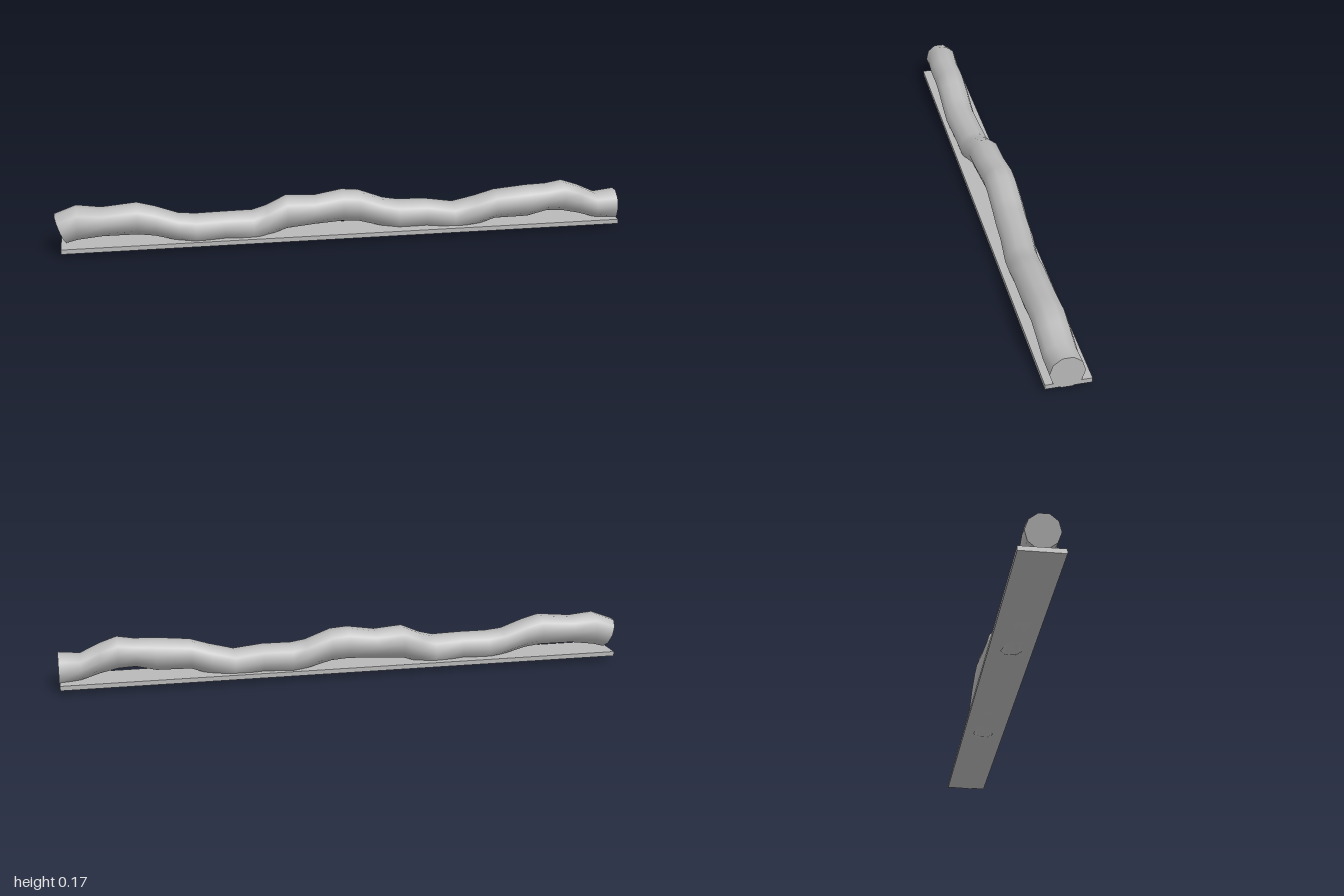
import * as THREE from 'three';

const SIDES = 10;

// Cross-sections along the log: x, top y, bottom y, centre z
const SECTIONS = [
  [-0.982, 0.137, 0.04, 0.003], [-0.925, 0.165, 0.05, 0.005], [-0.84, 0.155, 0.06, 0.01],
  [-0.72, 0.166, 0.06, 0.011], [-0.66, 0.15, 0.052, 0.011], [-0.58, 0.121, 0.03, 0.011],
  [-0.52, 0.115, 0.012, 0.011], [-0.42, 0.116, 0.022, 0.008], [-0.32, 0.115, 0.005, 0.002],
  [-0.27, 0.128, 0.025, -0.003], [-0.2, 0.159, 0.047, -0.009], [-0.1, 0.152, 0.055, -0.014],
  [0, 0.168, 0.06, -0.018], [0.06, 0.163, 0.056, -0.018], [0.15, 0.129, 0.032, -0.018],
  [0.2, 0.121, 0.016, -0.016], [0.3, 0.12, 0.023, -0.01], [0.4, 0.107, 0.005, -0.002],
  [0.48, 0.126, 0.025, 0.004], [0.55, 0.147, 0.049, 0.008], [0.67, 0.158, 0.051, 0.01],
  [0.74, 0.16, 0.068, 0.01], [0.8, 0.17, 0.065, 0.01], [0.86, 0.15, 0.052, 0.009],
  [0.925, 0.12, 0.032, 0.007], [1, 0.128, 0.017, 0.005],
];

// Ten-sided ring around one cross-section; the first is cut at a slant
function ring([x, top, bottom, z], i) {
  const points = [];
  const radiusY = (top - bottom) / 2 / Math.sin(Math.PI * 0.4);
  const slant = i === 0 ? -0.019 : 0;
  for (let j = 0; j < SIDES; j++) {
    const a = (j / SIDES) * Math.PI * 2;
    points.push(new THREE.Vector3(
      x + slant * Math.sin(a),
      (top + bottom) / 2 + radiusY * Math.sin(a),
      z + 0.056 * Math.cos(a)));
  }
  return points;
}

function surface(points, index) {
  const geometry = new THREE.BufferGeometry().setFromPoints(points);
  geometry.setIndex(index);
  geometry.computeVertexNormals();
  return geometry;
}

function capGeometry(points, reversed) {
  const index = [];
  for (let j = 1; j < SIDES - 1; j++) {
    index.push(0, reversed ? j + 1 : j, reversed ? j : j + 1);
  }
  return surface(points, index);
}

export function createModel() {
  const group = new THREE.Group();
  const grey = new THREE.MeshStandardMaterial({ color: 0xb8b8b8 });
  grey.name = 'plain grey';

  const add = (name, geometry) => {
    const mesh = new THREE.Mesh(geometry, grey);
    mesh.name = name;
    group.add(mesh);
    return mesh;
  };

  // Wavy round log with smooth sides
  const rings = SECTIONS.map(ring);
  const index = [];
  for (let i = 0; i < rings.length - 1; i++) {
    for (let j = 0; j < SIDES; j++) {
      const k = (j + 1) % SIDES;
      const a = i * SIDES + j, b = a + SIDES;
      const d = i * SIDES + k, c = d + SIDES;
      index.push(a, b, c, a, c, d);
    }
  }
  add('log', surface(rings.flat(), index));

  // Flat cut ends
  add('rightEnd', capGeometry(rings[0], false));
  add('leftEnd', capGeometry(rings[rings.length - 1], true));

  // Thin board the log is set into
  add('baseBoard', new THREE.BoxGeometry(1.98, 0.016, 0.148)).position.set(0.008, 0.026, 0);

  return group;
}
